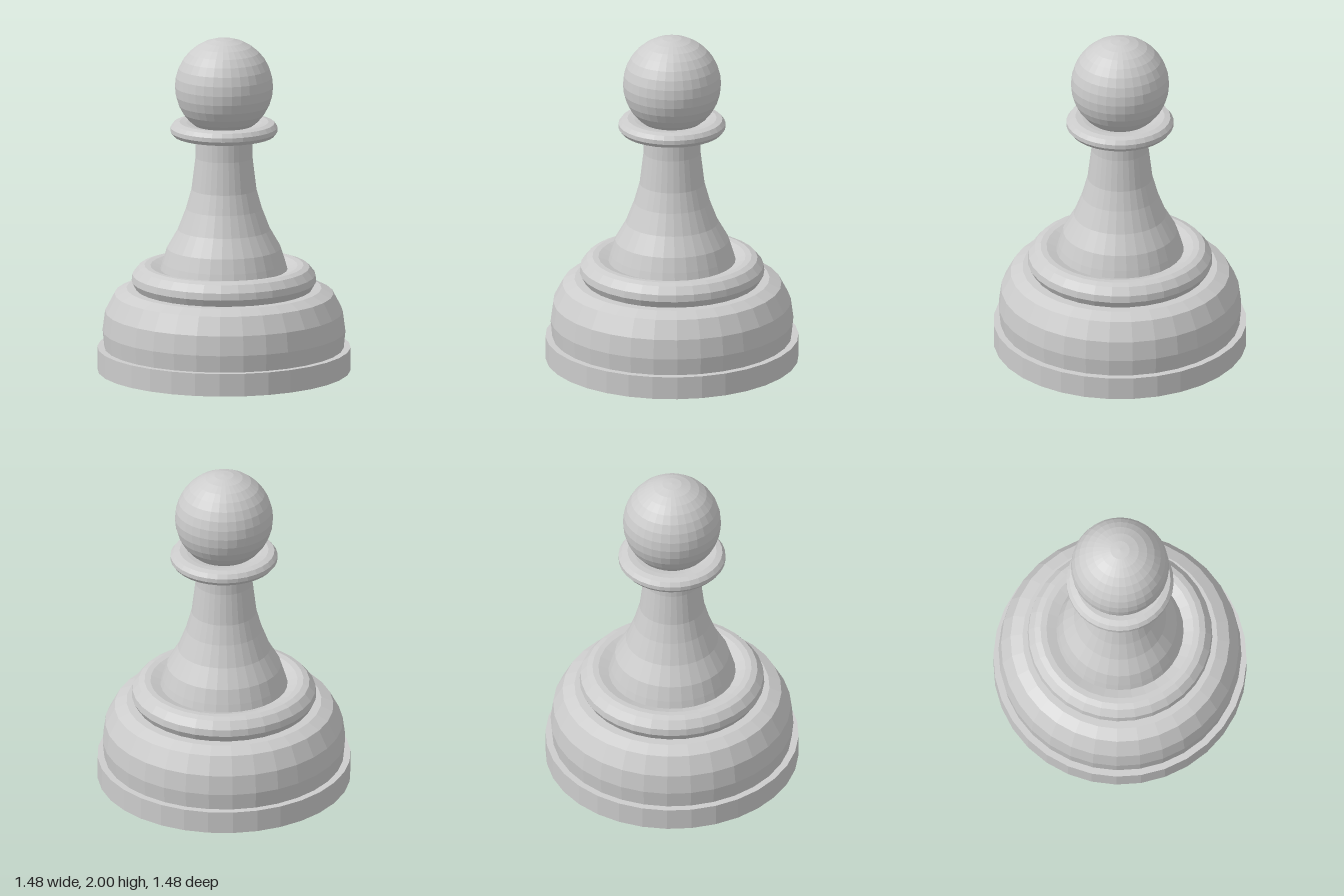
import * as THREE from 'three';

const SEGMENTS = 32;

export function createModel() {
  const group = new THREE.Group();
  const grey = new THREE.MeshStandardMaterial({ color: 0xcccccc, flatShading: true });
  grey.name = 'light grey';

  const add = (name, geometry) => {
    const mesh = new THREE.Mesh(geometry, grey);
    mesh.name = name;
    group.add(mesh);
    return mesh;
  };
  // Turn a bottom-to-top [radius, height] profile around the y axis
  const turn = (name, profile) =>
    add(name, new THREE.LatheGeometry(profile.map(([r, y]) => new THREE.Vector2(r, y)), SEGMENTS));

  // Foot: thin bevelled pad under a straight plinth
  turn('footPad', [[0, 0], [0.575, 0], [0.61, 0.02]]);
  turn('plinth', [[0, 0.02], [0.74, 0.02], [0.74, 0.155], [0.6, 0.155]]);

  // Wide bulging drum
  turn('drum', [[0.7, 0.155], [0.71, 0.255], [0.695, 0.37], [0.64, 0.475], [0.57, 0.508], [0.45, 0.508]]);

  // Rounded ring whose top dips in towards the stem
  turn('lowerRing', [
    [0.515, 0.505], [0.54, 0.55], [0.535, 0.59], [0.5, 0.633], [0.465, 0.645],
    [0.43, 0.643], [0.36, 0.618],
  ]);

  // Flared stem
  turn('stem', [
    [0.375, 0.61], [0.36, 0.665], [0.333, 0.75], [0.27, 0.86], [0.222, 0.985],
    [0.19, 1.1], [0.167, 1.29], [0.165, 1.46],
  ]);

  // Collar with rounded rim
  turn('collar', [
    [0.15, 1.44], [0.22, 1.422], [0.26, 1.415], [0.295, 1.422], [0.313, 1.445], [0.313, 1.47],
    [0.295, 1.494], [0.26, 1.502], [0.22, 1.497], [0.15, 1.48],
  ]);

  // Ball head
  add('head', new THREE.SphereGeometry(0.287, SEGMENTS, 16)).position.y = 1.713;

  return group;
}
